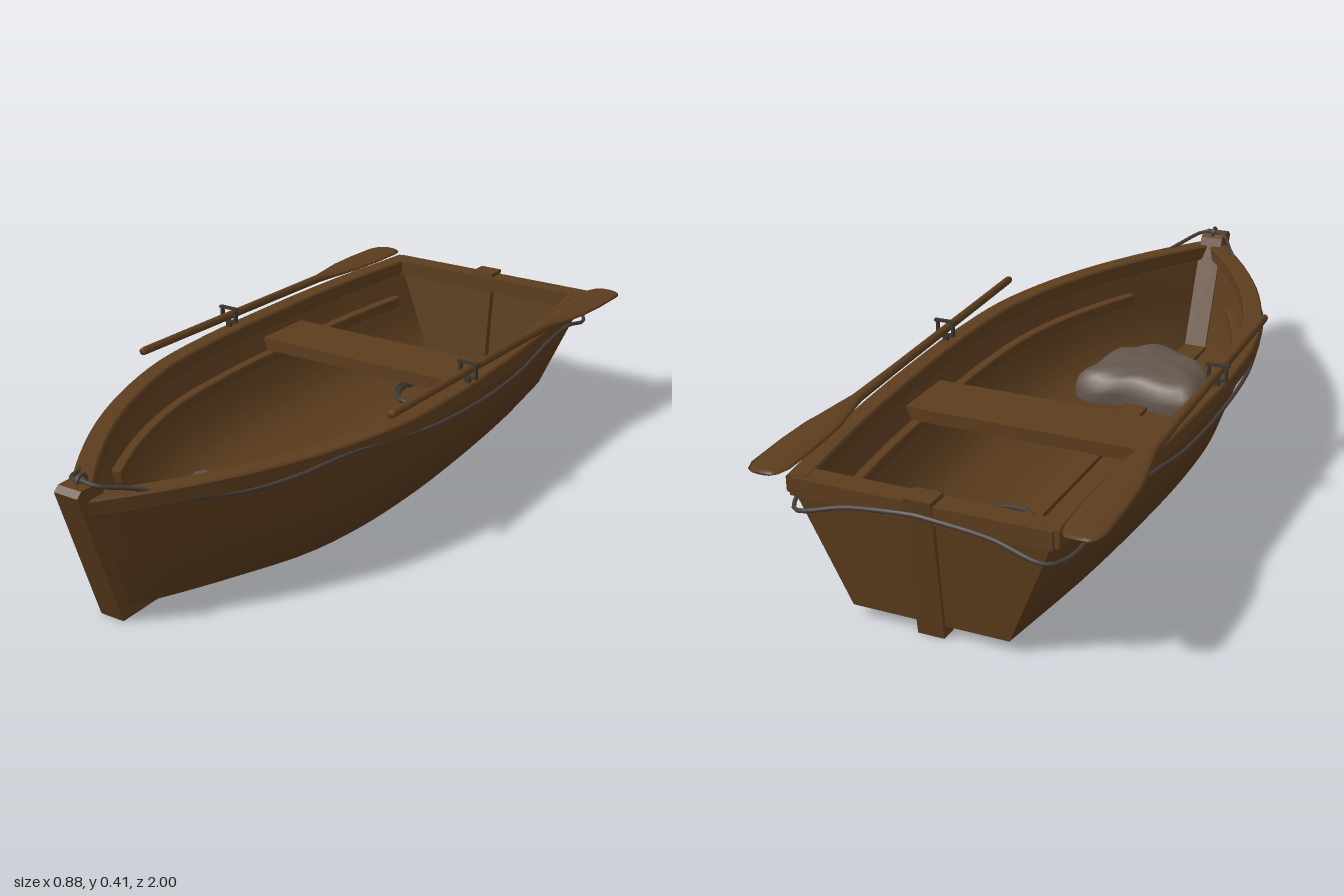
import * as THREE from 'three';
import { toCreasedNormals } from 'three/addons/utils/BufferGeometryUtils.js';

const V = (x, y, z) => new THREE.Vector3(x, y, z);

// Surface through rows of points
function loft(rows, closed = false, caps = false) {
  const n = rows[0].length, pos = [], idx = [];
  rows.forEach(r => r.forEach(p => pos.push(p.x, p.y, p.z)));
  for (let i = 0; i < rows.length - 1; i++) {
    for (let j = 0; j < (closed ? n : n - 1); j++) {
      const a = i * n + j, b = i * n + (j + 1) % n;
      idx.push(a, b, a + n, b, b + n, a + n);
    }
  }
  if (caps) {
    const e = (rows.length - 1) * n;
    for (let j = 1; j < n - 1; j++) idx.push(0, j + 1, j, e, e + j, e + j + 1);
  }
  const g = new THREE.BufferGeometry();
  g.setAttribute('position', new THREE.Float32BufferAttribute(pos, 3));
  g.setIndex(idx);
  g.computeVertexNormals();
  return g;
}

// Bar with a bevelled rectangular section along level points
function bar(points, w, h) {
  const b = Math.min(w, h) * 0.2;
  const sec = [[-w + b, -h], [w - b, -h], [w, -h + b], [w, h - b], [w - b, h], [-w + b, h], [-w, h - b], [-w, -h + b]];
  const rows = points.map((p, i) => {
    const t = points[Math.min(i + 1, points.length - 1)].clone().sub(points[Math.max(i - 1, 0)]).normalize();
    const side = V(0, 1, 0).cross(t).normalize();
    return sec.map(([u, v]) => p.clone().addScaledVector(side, u).add(V(0, v, 0)));
  });
  return toCreasedNormals(loft(rows, true, true), 0.6);
}

const tube = (pts, r, seg, closed = false) =>
  new THREE.TubeGeometry(new THREE.CatmullRomCurve3(pts, closed), seg, r, 6, closed);

export function createModel() {
  const model = new THREE.Group();
  const mat = (name, color) => new THREE.MeshStandardMaterial({ name, color, side: THREE.DoubleSide });
  const wood = mat('brown wood', 0x5c3d1e);
  const rope = mat('dark rope', 0x453d37);
  const iron = mat('dark iron', 0x3d352e);
  const cloth = mat('grey cloth', 0x63564c);
  const add = (name, geo, m, parent = model) => {
    const mesh = new THREE.Mesh(geo, m);
    mesh.name = name;
    parent.add(mesh);
    return mesh;
  };

  // Hull outlines: half widths at the rim and at the chine
  const N = 28;
  const outline = (pts, y) => new THREE.CatmullRomCurve3(pts.map(([z, x]) => V(x, y, z))).getPoints(N);
  const rim = outline([[-0.972, 0.33], [-0.6, 0.375], [-0.2, 0.395], [0, 0.395], [0.2, 0.38],
    [0.4, 0.33], [0.6, 0.25], [0.8, 0.135], [0.95, 0.025]], 0.335);
  const chine = outline([[-0.945, 0.2], [-0.6, 0.245], [-0.2, 0.272], [0, 0.275], [0.2, 0.265],
    [0.4, 0.23], [0.6, 0.15], [0.75, 0.08], [0.87, 0.015]], 0.03);
  const shell = (inset, lift) => loft(rim.map((r, i) => {
    const top = V(Math.max(r.x - inset, 0.004), r.y, r.z);
    const low = V(Math.max(chine[i].x - inset, 0.003), 0.03 + lift, chine[i].z);
    const half = [top, top.clone().lerp(low, 0.5), low];
    return [...half, V(0, low.y, low.z), ...half.reverse().map(p => V(-p.x, p.y, p.z))];
  }));
  add('hullOutside', shell(0, 0), wood);
  add('hullInside', shell(0.02, 0.015), wood);

  // Transom, leaning back
  const board = new THREE.Shape([[-0.2, 0], [0.2, 0], [0.33, 0.31], [-0.33, 0.31]].map(p => new THREE.Vector2(...p)));
  const transom = add('transom', new THREE.ExtrudeGeometry(board, { depth: 0.025, bevelEnabled: false }), wood);
  transom.position.set(0, 0.03, -0.947);
  transom.rotation.x = -0.09;
  const sternRail = add('sternRail', new THREE.BoxGeometry(0.65, 0.045, 0.06), wood);
  sternRail.position.set(0, 0.328, -0.952);

  // Keel, stem and stern post in one piece
  const spine = new THREE.Shape([[0.985, 0.383], [1, 0.37], [0.87, 0], [-0.953, 0], [-0.99, 0.362], [-0.93, 0.362],
    [-0.9, 0.058], [0.79, 0.058], [0.92, 0.375], [0.935, 0.383]].map(p => new THREE.Vector2(...p)));
  const keel = new THREE.ExtrudeGeometry(spine, { depth: 0.068, bevelEnabled: false });
  keel.rotateY(-Math.PI / 2).translate(0.029, 0, 0);
  add('keel', keel, wood);

  // Seat plank
  const seat = add('seat', new THREE.BoxGeometry(0.7, 0.035, 0.185), wood);
  seat.position.set(-0.004, 0.27, -0.33);

  // Oar sections: z, half width, half height
  const oarSections = [[0.27, 0.009, 0.009], [0.26, 0.011, 0.011], [-0.4, 0.012, 0.012], [-0.58, 0.015, 0.012],
    [-0.65, 0.03, 0.01], [-0.74, 0.047, 0.008], [-0.84, 0.052, 0.007], [-0.96, 0.051, 0.006], [-0.99, 0.04, 0.005], [-1, 0.028, 0.004]];

  for (const s of [1, -1]) {
    const side = new THREE.Group();
    side.name = s > 0 ? 'leftSide' : 'rightSide';
    model.add(side);

    add('gunwale', bar(rim.map(p => V(s * Math.max(p.x - 0.018, 0.008), 0.33, p.z)), 0.026, 0.022), wood, side);

    // Riser that carries the seat
    const riser = rim.map((p, i) => p.clone().lerp(chine[i], 0.29)).filter(p => p.z > -0.92 && p.z < 0.66);
    add('riser', bar(riser.map(p => V(s * (p.x - 0.032), 0.237, p.z)), 0.014, 0.016), wood, side);

    // Oar lying on the gunwale
    const oar = oarSections.map(([z, w, h]) => Array.from({ length: 10 }, (_, k) => {
      const a = -k / 10 * Math.PI * 2;
      return V(s * 0.387 + w * Math.cos(a), 0.397 - (0.27 - z) * 0.032 + h * Math.sin(a), z);
    }));
    add('oar', loft(oar, true, true), wood, side);

    // Oarlock: pin, cradle, two posts and a top bar
    const lock = new THREE.Group();
    lock.name = 'oarlock';
    lock.position.set(s * 0.388, 0, -0.12);
    side.add(lock);
    for (const [w, h, x, y] of [[0.014, 0.03, 0, 0.355], [0.054, 0.006, 0, 0.368],
      [0.006, 0.04, 0.023, 0.387], [0.006, 0.04, -0.023, 0.387], [0.062, 0.006, 0, 0.407]]) {
      add('oarlockPart', new THREE.BoxGeometry(w, h, 0.012), iron, lock).position.set(x, y, 0);
    }
  }

  // Rope slung around the hull from stem to stern post
  const half = [[0.035, 0.383, 0.945], [0.085, 0.36, 0.87], [0.155, 0.322, 0.78], [0.225, 0.305, 0.66], [0.29, 0.312, 0.54],
    [0.342, 0.327, 0.39], [0.376, 0.318, 0.24], [0.4, 0.302, 0.08], [0.405, 0.287, -0.18], [0.4, 0.292, -0.4],
    [0.386, 0.314, -0.6], [0.367, 0.308, -0.77], [0.345, 0.272, -0.93], [0.31, 0.272, -0.985], [0.18, 0.305, -0.985], [0.05, 0.325, -0.994]];
  const loop = [V(0, 0.388, 0.95), ...half.map(p => V(...p)), V(0, 0.328, -0.994),
    ...half.slice().reverse().map(([x, y, z]) => V(-x, y, z))];
  add('sideRope', tube(loop, 0.0055, 200, true), rope);
  const knot = add('bowKnot', new THREE.TorusGeometry(0.016, 0.005, 6, 16), rope);
  knot.position.set(-0.005, 0.385, 0.945);
  knot.rotation.y = Math.PI / 2;

  // Coiled rope with a loose tail on the floor
  const coil = [V(-0.12, 0.053, -0.84), V(-0.125, 0.053, -0.81), V(-0.1, 0.053, -0.77), V(-0.085, 0.056, -0.71)];
  for (let k = 0; k <= 36; k++) {
    const a = Math.PI * 1.05 + k / 12 * Math.PI * 2;
    const r = 1 + 0.08 * Math.sin(k * 0.45);
    coil.push(V(0.012 + 0.103 * r * Math.cos(a), 0.062 + k * 0.0007, -0.6 + 0.127 * r * Math.sin(a)));
  }
  add('ropeCoil', tube(coil, 0.006, 160), rope);

  // Slumped sack near the bow
  const edge = new THREE.CatmullRomCurve3([[-0.18, 0.29], [-0.08, 0.285], [0.03, 0.295], [0.12, 0.28], [0.195, 0.31],
    [0.19, 0.42], [0.16, 0.55], [0.11, 0.6], [0.03, 0.62], [-0.08, 0.57], [-0.15, 0.5], [-0.19, 0.39]]
    .map(([x, z]) => V(x, 0.045, z)), true).getPoints(36).slice(0, 36);
  const sack = [1, 1.01, 0.97, 0.88, 0.74, 0.55, 0.3, 0.001].map((k, i) => edge.map((p, j) => {
    const h = [0, 0.03, 0.055, 0.075, 0.087, 0.094, 0.098, 0.1][i];
    const fold = 0.006 * k * Math.sin(j * 1.05 + i * 0.7) * (i > 0 ? 1 : 0);
    return V(p.x * k, 0.045 + h + fold, 0.44 + (p.z - 0.44) * k);
  }));
  add('sack', loft(sack, true), cloth);

  return model;
}
